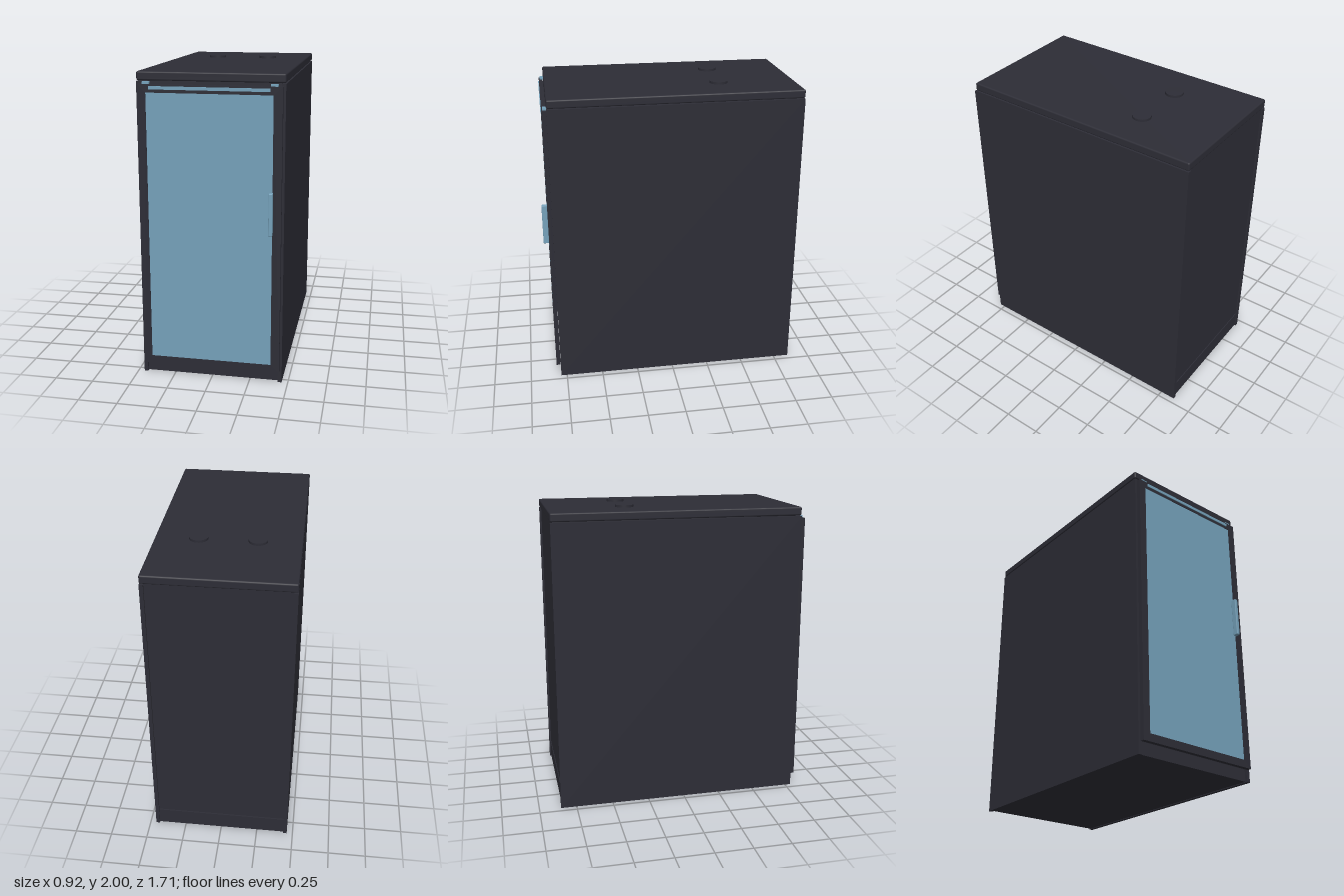
import * as THREE from 'three';
import { RoundedBoxGeometry } from 'three/addons/geometries/RoundedBoxGeometry.js';

export function createModel() {
  const cabinet = new THREE.Group();
  cabinet.name = 'cabinet';
  const charcoal = new THREE.MeshStandardMaterial({ color: 0x2d2d36 });
  charcoal.name = 'charcoal';
  const blueGlass = new THREE.MeshStandardMaterial({ color: 0x75a1ba });
  blueGlass.name = 'blueGlass';

  const add = (name, geometry, material) => {
    const mesh = new THREE.Mesh(geometry, material);
    mesh.name = name;
    cabinet.add(mesh);
    return mesh;
  };
  // Box given by its limits on each axis; a radius rounds its edges
  const box = (name, [x0, x1], [y0, y1], [z0, z1], material = charcoal, radius = 0) => {
    const size = [x1 - x0, y1 - y0, z1 - z0];
    const geometry = radius
      ? new RoundedBoxGeometry(...size, 2, radius)
      : new THREE.BoxGeometry(...size);
    add(name, geometry, material).position.set((x0 + x1) / 2, (y0 + y1) / 2, (z0 + z1) / 2);
  };

  // Carcass: side panels stand slightly proud of the back and kick plates
  for (const [label, s] of [['left', 1], ['right', -1]]) {
    const xs = [s * 0.435, s * 0.46].sort((a, b) => a - b);
    box(label + 'SidePanel', xs, [0, 1.925], [-0.855, 0.79]);
  }
  const inner = [-0.435, 0.435];
  box('backPanel', inner, [0.125, 1.93], [-0.842, -0.82]);
  box('backKickPlate', inner, [0.005, 0.12], [-0.846, -0.82]);
  box('frontKickPlate', inner, [0.005, 0.085], [0.75, 0.775]);
  box('floorPanel', inner, [0.005, 0.03], [-0.82, 0.75]);
  box('frontTopRail', inner, [1.86, 1.93], [0.75, 0.785]);

  // Rounded top slab with two low caps
  box('topPanel', [-0.46, 0.46], [1.93, 1.985], [-0.855, 0.79], charcoal, 0.01);
  for (const x of [-0.185, 0.185]) {
    add('topCap', new THREE.CylinderGeometry(0.06, 0.06, 0.02, 40), charcoal)
      .position.set(x, 1.99, -0.345);
  }

  // Door frame, extruded around the window opening
  const frame = new THREE.Shape([
    [-0.445, 0.08], [0.445, 0.08], [0.445, 1.91], [-0.445, 1.91],
  ].map(p => new THREE.Vector2(...p)));
  frame.holes.push(new THREE.Path([
    [-0.395, 0.13], [-0.395, 1.86], [0.39, 1.86], [0.39, 0.13],
  ].map(p => new THREE.Vector2(...p))));
  add('doorFrame', new THREE.ExtrudeGeometry(frame, { depth: 0.027, bevelEnabled: false }), charcoal)
    .position.z = 0.792;
  box('doorGlass', [-0.395, 0.39], [0.13, 1.86], [0.808, 0.817], blueGlass);
  box('doorBacking', [-0.395, 0.39], [0.13, 1.86], [0.792, 0.804]);

  // Blue door fittings
  box('lightStrip', [-0.375, 0.37], [1.88, 1.9], [0.818, 0.824], blueGlass);
  box('doorHandle', [0.37, 0.395], [1.0, 1.27], [0.818, 0.855], blueGlass, 0.005);
  for (const x of [-0.397, 0.393]) {
    box('hinge', [x - 0.022, x + 0.022], [1.911, 1.925], [0.78, 0.812], blueGlass);
  }
  return cabinet;
}
